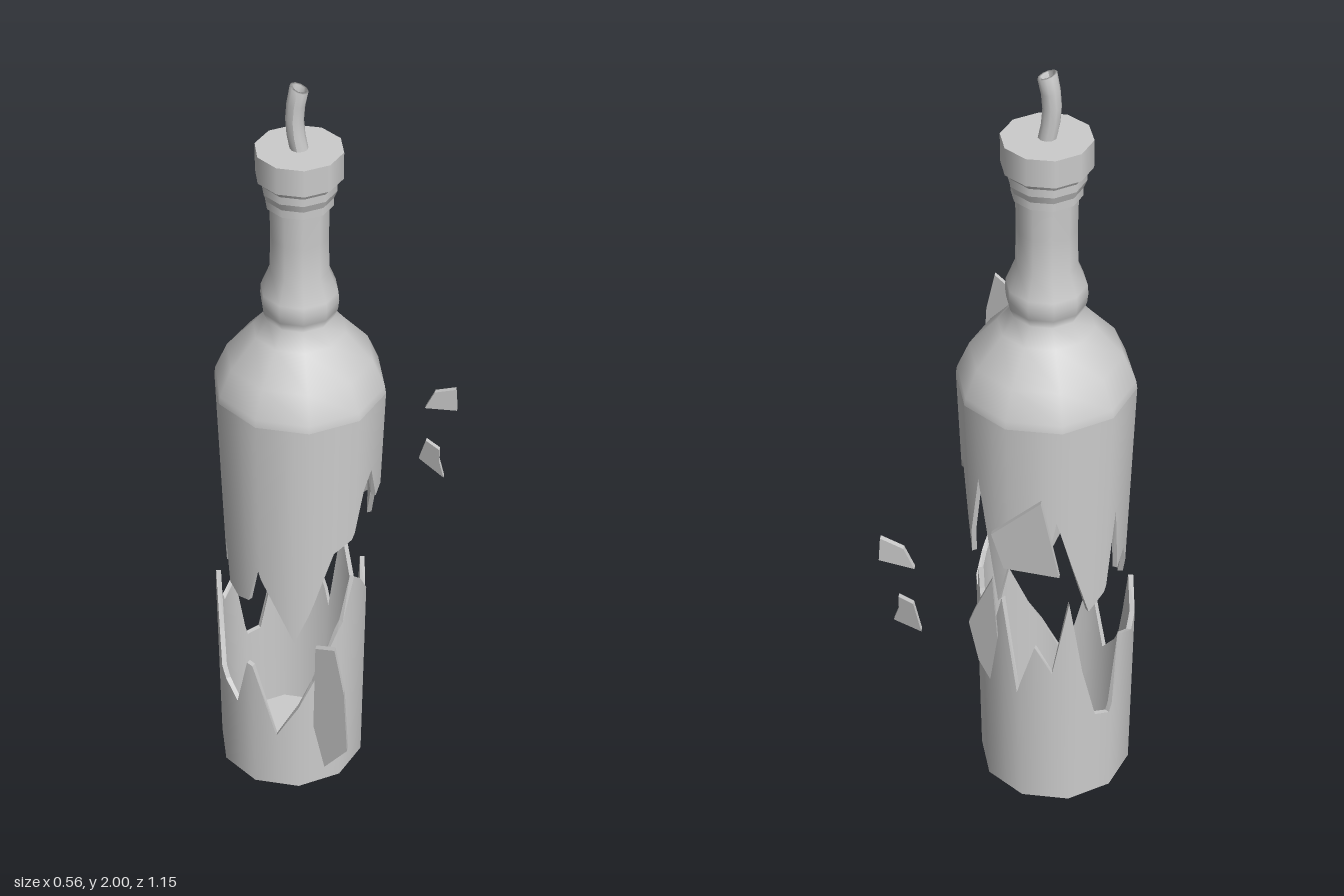
import * as THREE from 'three';

const SIDES = 10;
const rad = THREE.MathUtils.degToRad;
const grey = new THREE.MeshStandardMaterial({ color: 0xcccccc, side: THREE.DoubleSide });

function add(parent, name, geometry, x = 0, y = 0, z = 0) {
  const mesh = new THREE.Mesh(geometry, grey);
  mesh.name = name;
  mesh.position.set(x, y, z);
  parent.add(mesh);
  return mesh;
}

// Ten-sided lathe with corners on the x axis
function lathe(points) {
  const profile = points.map(([r, y]) => new THREE.Vector2(r, y));
  return new THREE.LatheGeometry(profile, SIDES, rad(18), Math.PI * 2);
}

// Height of the broken edge at an angle, from sorted [angle, height] pairs
function edgeHeight(edge, a) {
  const n = edge.length;
  for (let i = 0; i < n; i++) {
    const [a0, y0] = edge[i];
    const a1 = i + 1 < n ? edge[i + 1][0] : edge[0][0] + 360;
    const y1 = edge[(i + 1) % n][1];
    for (const t of [a, a + 360]) {
      if (t >= a0 && t <= a1) return y0 + (y1 - y0) * (t - a0) / (a1 - a0);
    }
  }
  return edge[0][1];
}

// Closed band between two loops; columns hold angle in degrees
function band(angles, low, high, facing) {
  const pos = [], nor = [], idx = [], n = angles.length;
  angles.forEach((a, i) => {
    pos.push(...low[i], ...high[i]);
    const nx = Math.sin(rad(a)) * facing, nz = Math.cos(rad(a)) * facing;
    nor.push(nx, 0, nz, nx, 0, nz);
    const b = i * 2, c = ((i + 1) % n) * 2;
    if (facing > 0) idx.push(b, c, c + 1, b, c + 1, b + 1);
    else idx.push(b, c + 1, c, b, b + 1, c + 1);
  });
  const g = new THREE.BufferGeometry();
  g.setAttribute('position', new THREE.Float32BufferAttribute(pos, 3));
  g.setAttribute('normal', new THREE.Float32BufferAttribute(nor, 3));
  g.setIndex(idx);
  return g;
}

// Thick ten-sided wall from a level ring to a jagged edge
function brokenWall(parent, name, edge, baseY, radiusAt, up) {
  const thick = 0.013;
  const corners = Array.from({ length: SIDES }, (_, k) => -162 + 36 * k);
  const angles = [...new Set([...edge.map((e) => e[0]), ...corners])].sort((p, q) => p - q);
  const loop = (heightAt, inset) => angles.map((a) => {
    const y = heightAt(a);
    const m = (((a - 18) % 36) + 36) % 36 - 18;
    const r = (radiusAt(y) - inset) * Math.cos(rad(18)) / Math.cos(rad(m));
    return [r * Math.sin(rad(a)), y, r * Math.cos(rad(a))];
  });
  const jag = (a) => edgeHeight(edge, a), flat = () => baseY;
  const outJag = loop(jag, 0), inJag = loop(jag, thick);
  const outBase = loop(flat, 0), inBase = loop(flat, thick);
  const wall = (base, top, f) => (up ? band(angles, base, top, f) : band(angles, top, base, f));
  add(parent, name + 'Outside', wall(outBase, outJag, 1));
  add(parent, name + 'Inside', wall(inBase, inJag, -1));
  const rim = band(angles, outJag, inJag, up ? 1 : -1).toNonIndexed();
  rim.computeVertexNormals();
  add(parent, name + 'BrokenRim', rim);
}

// Flat splinter cut in x and y, sheared so that z follows x
function shard(parent, name, outline, z0, slope) {
  const shape = new THREE.Shape(outline.map(([x, y]) => new THREE.Vector2(x, y)));
  const g = new THREE.ExtrudeGeometry(shape, { depth: 0.013, bevelEnabled: false });
  const p = g.attributes.position, x0 = Math.min(...outline.map((o) => o[0]));
  for (let i = 0; i < p.count; i++) p.setZ(i, p.getZ(i) + z0 + slope * (p.getX(i) - x0));
  g.computeVertexNormals();
  add(parent, name, g);
}

export function createModel() {
  const model = new THREE.Group();
  model.name = 'brokenBottle';

  // Lower half, slightly off the axis of the upper half
  const lower = new THREE.Group();
  lower.name = 'lowerBottle';
  lower.position.set(-0.085, 0, -0.18);
  model.add(lower);
  const lowerEdge = [
    [-175, 0.42], [-163, 0.65], [-152, 0.42], [-140, 0.26], [-128, 0.25], [-112, 0.47],
    [-95, 0.44], [-80, 0.575], [-65, 0.42], [-50, 0.29], [-37, 0.24], [-24, 0.4], [-18, 0.4],
    [0, 0.17], [30, 0.35], [50, 0.5], [70, 0.64], [80, 0.61], [95, 0.53], [104, 0.62],
    [107, 0.56], [118, 0.43], [129, 0.44], [144, 0.62], [158, 0.34], [172, 0.5],
  ];
  brokenWall(lower, 'lowerWall', lowerEdge, 0, (y) => 0.19 + 0.016 * y, true);
  add(lower, 'base', new THREE.CircleGeometry(0.19, SIDES).rotateX(Math.PI / 2));

  // Upper half: hanging jagged wall, shoulder and neck
  const upper = new THREE.Group();
  upper.name = 'upperBottle';
  upper.position.set(-0.06, 0, -0.183);
  model.add(upper);
  const upperEdge = [
    [-172, 0.76], [-165, 0.9], [-152, 0.74], [-138, 0.59], [-123, 0.65], [-113, 0.86],
    [-104, 0.66], [-95, 0.7], [-85, 0.6], [-72, 0.7], [-60, 0.63], [-45, 0.58], [-33, 0.59],
    [-22, 0.72], [7, 0.49], [22, 0.62], [38, 0.77], [52, 0.8], [65, 0.93], [75, 0.97],
    [84, 0.87], [100, 0.94], [112, 0.8], [122, 0.72], [135, 0.97], [150, 0.62], [165, 0.8],
  ];
  brokenWall(upper, 'upperWall', upperEdge, 1.17, (y) => 0.215 - 0.036 * (1.17 - y), false);
  add(upper, 'shoulderAndNeck', lathe([
    [0.215, 1.17], [0.212, 1.19], [0.182, 1.26], [0.115, 1.335], [0.083, 1.375], [0.094, 1.4],
    [0.097, 1.425], [0.095, 1.45], [0.073, 1.505], [0.071, 1.6], [0.073, 1.7],
  ]));

  // Lip rings and stopper
  const ring = (name, top, bottom, y0, y1) => add(upper, name,
    new THREE.CylinderGeometry(top, bottom, y1 - y0, SIDES, 1, false, rad(18)), 0, (y0 + y1) / 2);
  ring('lipLower', 0.083, 0.083, 1.69, 1.71);
  ring('lipFlare', 0.091, 0.083, 1.71, 1.73);
  ring('lipUpper', 0.091, 0.091, 1.73, 1.75);
  ring('stopperNeck', 0.1, 0.091, 1.75, 1.765);
  ring('stopper', 0.106, 0.106, 1.765, 1.835);

  // Bent hollow spout with a slanted mouth
  const H = 0.16, levels = [0, 0.25, 0.5, 0.75, 1];
  const tube = new THREE.LatheGeometry([
    ...levels.map((t) => new THREE.Vector2(0.022, t * H)),
    ...levels.slice().reverse().map((t) => new THREE.Vector2(0.015, t * H)),
  ], 10);
  const p = tube.attributes.position;
  for (let i = 0; i < p.count; i++) {
    const t = p.getY(i) / H, x = p.getX(i);
    p.setXY(i, x - 0.011 * Math.sin(Math.PI * t), p.getY(i) - 0.4 * x * t * t);
  }
  tube.computeVertexNormals();
  add(upper, 'spout', tube, 0, 1.831, 0);

  // Flying splinters
  shard(model, 'frontShard', [[0.12, 0.7], [0.15, 0.59], [0.21, 0.68], [0.2, 0.85],
    [0.175, 0.965], [0.125, 0.94]], 0.512, 0.54);
  shard(model, 'backShardLarge', [[-0.145, 0.9], [-0.01, 0.88], [0.02, 0.97], [-0.1, 1.1]], -0.575, 0.3);
  shard(model, 'backShardTall', [[0, 0.7], [0.02, 0.56], [0.05, 0.6], [0.075, 0.7],
    [0.055, 0.76], [0.012, 0.87]], -0.575, 0.65);
  shard(model, 'backShardUpper', [[0.195, 0.875], [0.28, 0.885], [0.275, 0.95], [0.22, 0.93]], -0.56, 0.1);
  shard(model, 'backShardLower', [[0.18, 0.7], [0.255, 0.685], [0.24, 0.73], [0.24, 0.765],
    [0.2, 0.77]], -0.575, 0.68);

  return model;
}
